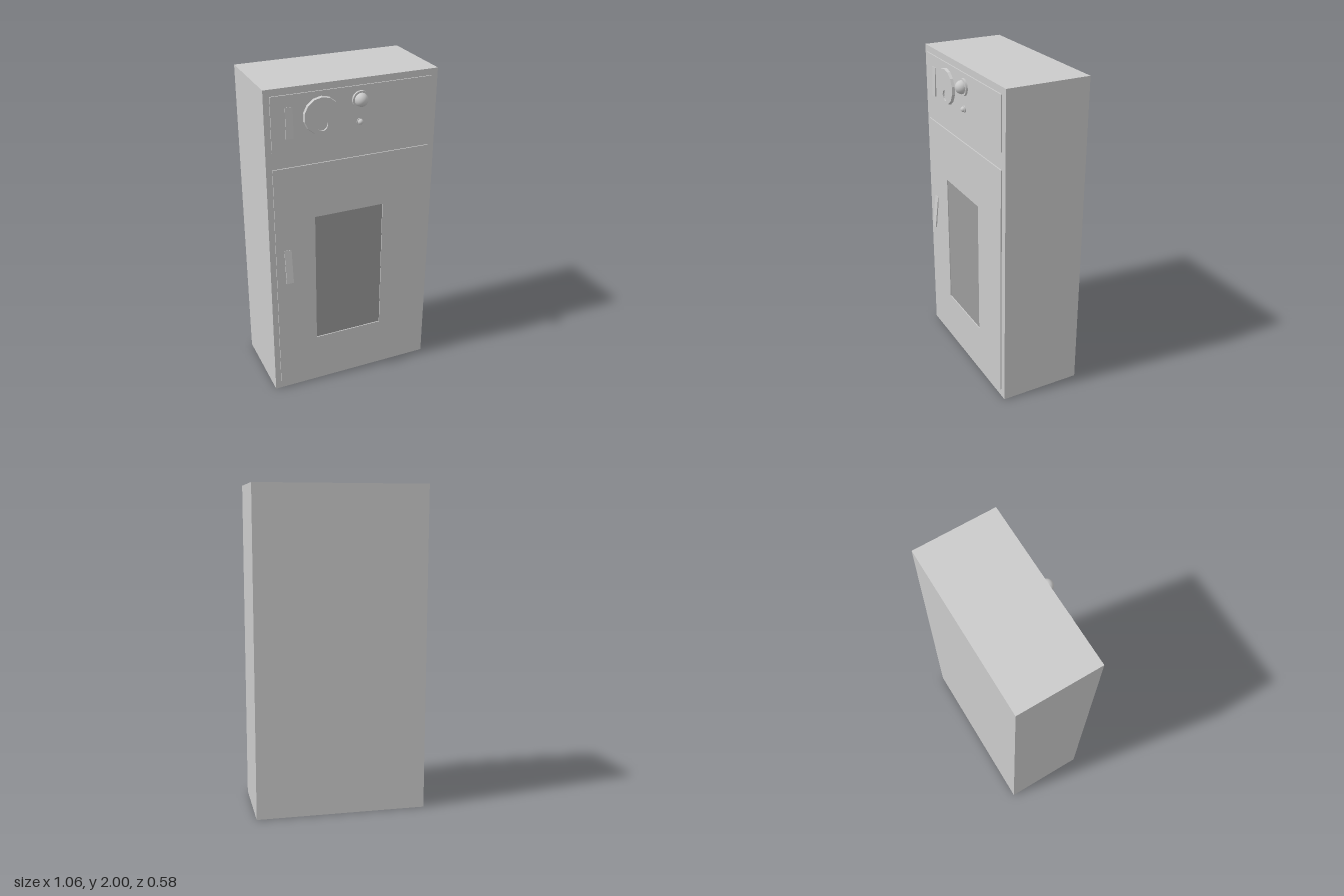
import * as THREE from 'three';

const FRONT = 0.226;   // front face of the cabinet
const PANEL = 0.233;   // front face of the raised panels

export function createModel() {
  const model = new THREE.Group();
  const flat = new THREE.MeshStandardMaterial({ color: 0xcccccc, flatShading: true });
  const smooth = new THREE.MeshStandardMaterial({ color: 0xcccccc });
  const dark = new THREE.MeshStandardMaterial({ color: 0x9c9c9c });

  function add(name, geometry, material, x = 0, y = 0, z = 0) {
    const mesh = new THREE.Mesh(geometry, material);
    mesh.name = name;
    mesh.position.set(x, y, z);
    model.add(mesh);
    return mesh;
  }

  function rect(Kind, x0, x1, y0, y1) {
    return new Kind([[x0, y0], [x1, y0], [x1, y1], [x0, y1]].map(p => new THREE.Vector2(...p)));
  }

  // Extrudes an outline, cut by an optional hole, from z0 to z1
  function plate(name, shape, hole, z0, z1) {
    if (hole) shape.holes.push(hole);
    const g = new THREE.ExtrudeGeometry(shape, { depth: z1 - z0, bevelEnabled: false, curveSegments: 8 });
    return add(name, g, flat, 0, 0, z0);
  }

  // Cabinet
  add('cabinet', new THREE.BoxGeometry(1.056, 2, 0.515), flat, 0, 1, FRONT - 0.2575);

  // Door with window opening, window pane and the control panel above
  plate('door', rect(THREE.Shape, -0.492, 0.487, 0.05, 1.535),
    rect(THREE.Path, -0.243, 0.197, 0.332, 1.196), FRONT - 0.003, PANEL);
  add('window', new THREE.PlaneGeometry(0.44, 0.864), dark, -0.023, 0.764, FRONT + 0.001);
  plate('controlPanel', rect(THREE.Shape, -0.492, 0.487, 1.64, 1.96), null, FRONT - 0.003, PANEL);

  // Tilted pull plates: the top meets the panel, the bottom stands out
  function pull(name, x, yTop, yBottom, reach, thick) {
    const side = new THREE.Shape([
      [PANEL - 0.004, yTop], [PANEL + reach - thick, yBottom],
      [PANEL + reach, yBottom], [PANEL + 0.002, yTop],
    ].map(([z, y]) => new THREE.Vector2(-z, y)));
    const g = new THREE.ExtrudeGeometry(side, { depth: 0.044, bevelEnabled: false });
    g.rotateY(Math.PI / 2);
    add(name, g, flat, x - 0.022, 0, 0);
  }
  pull('doorHandle', -0.418, 1.01, 0.795, 0.027, 0.009);
  pull('lever', -0.387, 1.89, 1.71, 0.009, 0.012);

  // Faceted, slightly tapered dial with a round finger dimple
  const outline = new THREE.Shape(Array.from({ length: 14 }, (_, i) => {
    const a = (i + 0.5) * Math.PI * 2 / 14;
    return new THREE.Vector2(0.111 * Math.cos(a), 0.111 * Math.sin(a));
  }));
  const dimple = new THREE.Path().absarc(0, -0.056, 0.032, 0, Math.PI * 2, true);
  const dial = plate('dial', outline, dimple, PANEL - 0.002, 0.25);
  dial.position.set(-0.197, 1.82, PANEL - 0.002);
  const pos = dial.geometry.attributes.position;
  for (let i = 0; i < pos.count; i++) {
    if (pos.getZ(i) > 0.01 && Math.hypot(pos.getX(i), pos.getY(i)) > 0.1) {
      pos.setXY(i, pos.getX(i) * 0.96, pos.getY(i) * 0.96);
    }
  }
  dial.geometry.computeVertexNormals();
  add('dialDimple', new THREE.CircleGeometry(0.033, 16), flat, -0.197, 1.764, 0.24);

  // Indicator lamps: a round collar with a domed lens
  function lamp(name, y, collarR, domeR, collarFront) {
    const depth = collarFront - PANEL + 0.002;
    const collar = new THREE.CylinderGeometry(collarR, collarR, depth, 20).rotateX(Math.PI / 2);
    add(name + 'Collar', collar, smooth, 0.038, y, collarFront - depth / 2);
    const dome = new THREE.SphereGeometry(domeR, 24, 10, 0, Math.PI * 2, 0, Math.PI / 2).rotateX(Math.PI / 2);
    add(name + 'Lens', dome, smooth, 0.038, y, collarFront);
  }
  lamp('mainLamp', 1.88, 0.051, 0.04, 0.246);
  lamp('smallLamp', 1.748, 0.021, 0.017, 0.239);

  return model;
}
